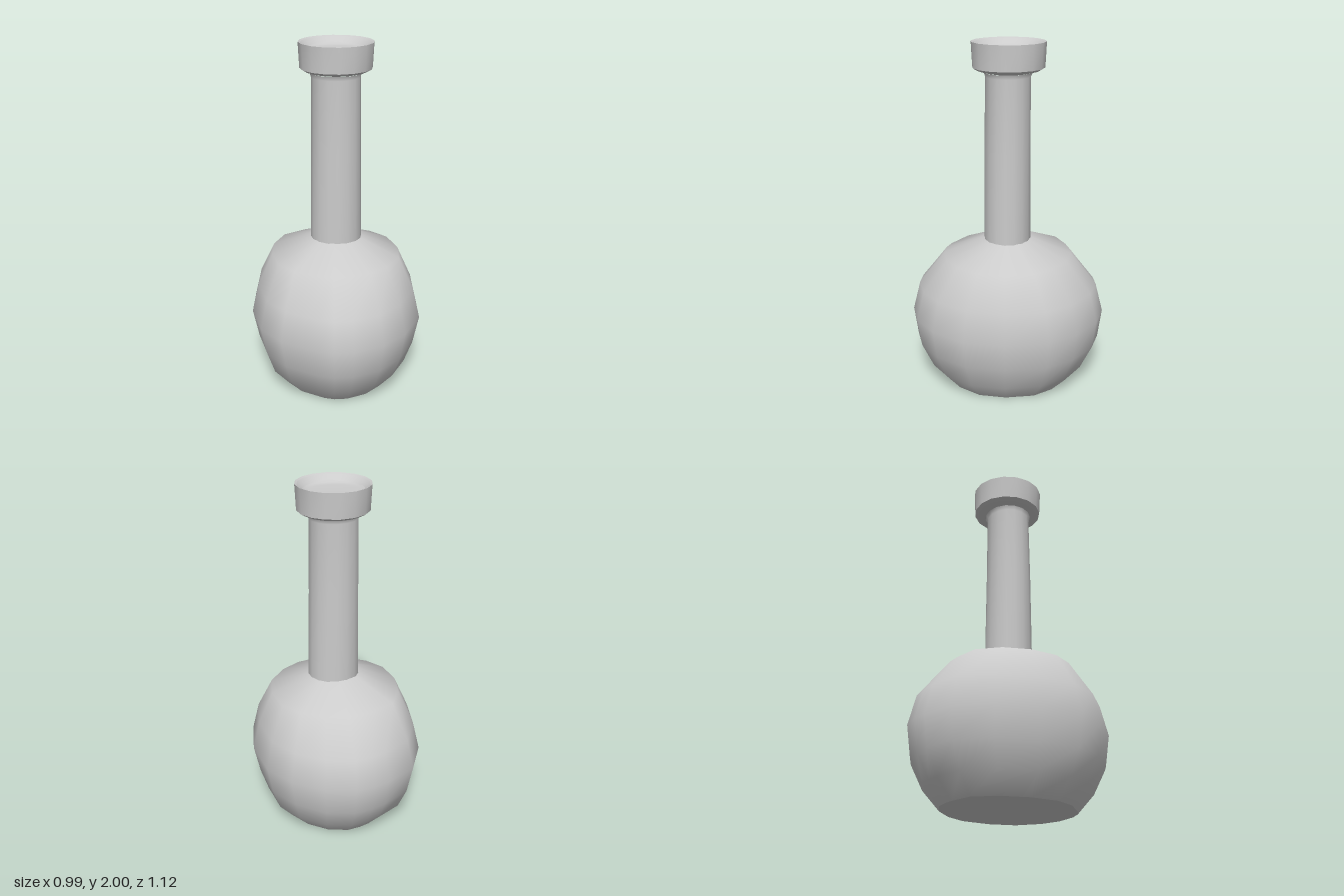
import * as THREE from 'three';

const material = new THREE.MeshStandardMaterial({ color: 0xcccccc });

// Skin a stack of rings [y, radiusX, radiusZ, offsetX, offsetZ] with a unit outline of [x, z] points
function loft(outline, rings) {
  const n = outline.length;
  const positions = [];
  const index = [];
  rings.forEach(([y, rx, rz, ox = 0, oz = 0], j) => {
    outline.forEach(([x, z], i) => {
      positions.push(x * rx + ox, y, z * rz + oz);
      if (j === 0) return;
      const next = (i + 1) % n;
      const a = (j - 1) * n + i, b = (j - 1) * n + next;
      const c = j * n + next, d = j * n + i;
      index.push(a, b, c, a, c, d);
    });
  });
  const geometry = new THREE.BufferGeometry();
  geometry.setAttribute('position', new THREE.Float32BufferAttribute(positions, 3));
  geometry.setIndex(index);
  geometry.computeVertexNormals();
  return geometry;
}

// Unit outline whose corners lean towards a square as the exponent grows
function roundOutline(sides, power = 2) {
  return Array.from({ length: sides }, (_, i) => {
    const t = (i / sides) * Math.PI * 2;
    const s = Math.sin(t), c = Math.cos(t);
    const r = (Math.abs(s) ** power + Math.abs(c) ** power) ** (-1 / power);
    return [s * r, c * r];
  });
}

export function createModel() {
  const group = new THREE.Group();
  const add = (name, geometry) => {
    const mesh = new THREE.Mesh(geometry, material);
    mesh.name = name;
    group.add(mesh);
  };

  // Hand-shaped oval belly outline, anticlockwise from the front
  const belly = [
    [0.05, 0.56], [0.22, 0.505], [0.36, 0.39], [0.475, 0.2], [0.495, -0.03], [0.44, -0.27],
    [0.32, -0.42], [0.15, -0.53], [-0.02, -0.565], [-0.13, -0.545], [-0.22, -0.51],
    [-0.385, -0.41], [-0.475, -0.21], [-0.497, 0.03], [-0.45, 0.26], [-0.34, 0.41],
    [-0.15, 0.53], [-0.06, 0.56],
  ].map(([x, z]) => [x / 0.495, z / 0.563]);

  // Round belly with a flat foot
  add('belly', loft(belly, [
    [0, 0.325, 0.375], [0.11, 0.415, 0.47], [0.25, 0.46, 0.54], [0.42, 0.495, 0.563],
    [0.59, 0.455, 0.52], [0.78, 0.37, 0.37], [0.88, 0.14, 0.13],
  ]));
  add('base', loft(belly, [[0, 0, 0], [0, 0.325, 0.375]]));

  // Tall, gently tapering neck flaring out under the lip
  const circle = roundOutline(16);
  add('neck', loft(circle, [
    [0.84, 0.147, 0.134, 0.004], [0.88, 0.147, 0.134, 0.004], [1.4, 0.14, 0.13, 0.003],
    [1.81, 0.136, 0.126, 0.003, -0.003], [1.835, 0.145, 0.138, 0.004, -0.004],
  ]));

  // Lip: underside, outer wall and narrow rim
  const ox = 0.005, oz = -0.007;
  add('lipUnderside', loft(circle, [
    [1.835, 0.14, 0.133, ox, oz], [1.845, 0.175, 0.175, ox, oz], [1.86, 0.2, 0.2, ox, oz],
  ]));
  add('lipWall', loft(circle, [[1.86, 0.2, 0.2, ox, oz], [2, 0.207, 0.207, ox, oz]]));
  add('rim', loft(circle, [[2, 0.207, 0.207, ox, oz], [1.995, 0.196, 0.196, ox, oz]]));

  // Shallow dished mouth, stepping from the round rim to a squarish floor
  const mouth = loft(roundOutline(32, 2.6), [
    [1.97, 0.165, 0.165, ox, oz], [1.96, 0.145, 0.145, ox, oz], [1.955, 0.12, 0.12, ox, oz],
    [1.955, 0, 0, ox, oz],
  ]);
  add('mouthFloor', mouth);
  const slope = loft(roundOutline(32), [[1.995, 0.198, 0.198, ox, oz], [1.965, 0.16, 0.16, ox, oz]]);
  add('mouthSlope', slope);

  return group;
}
